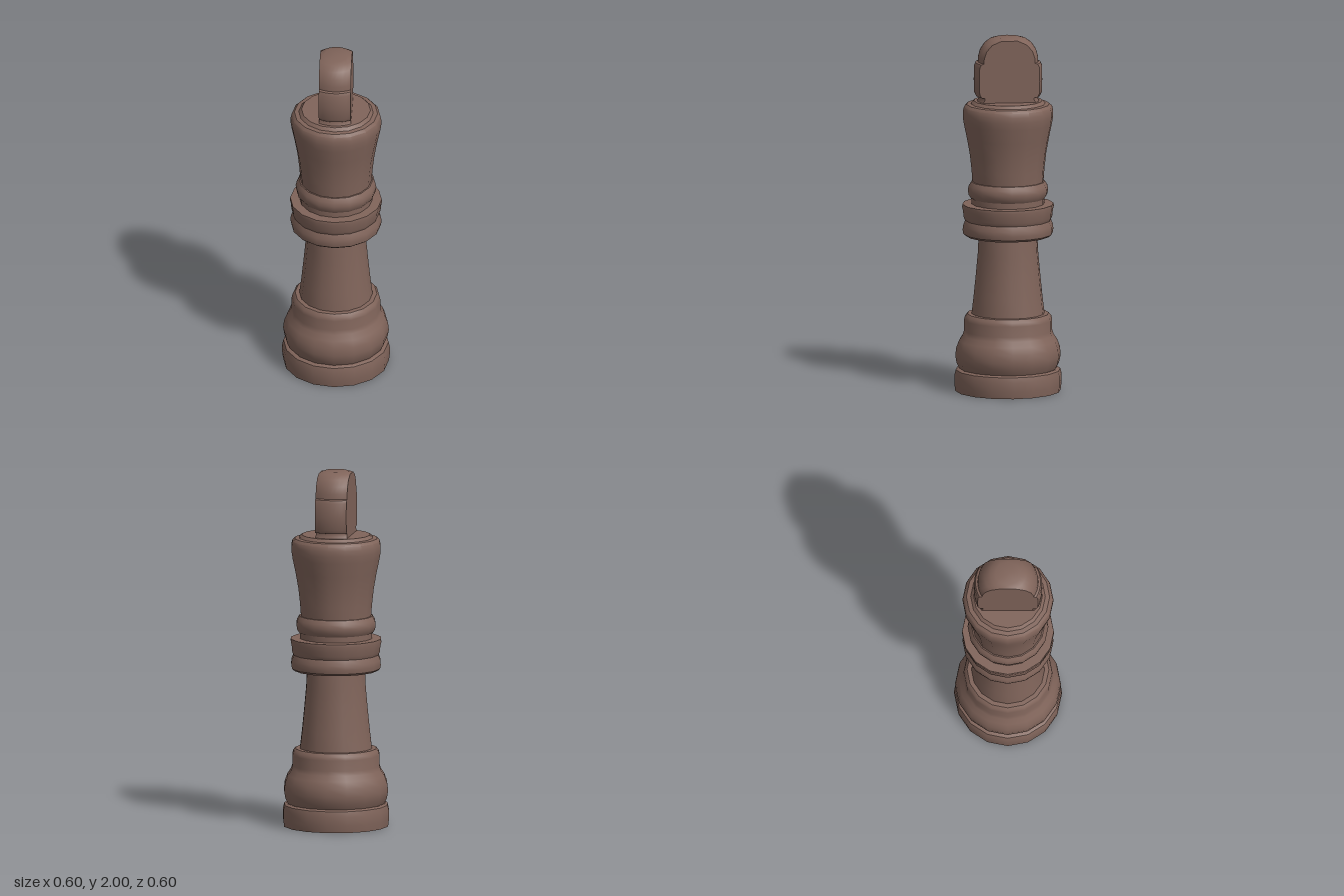
import * as THREE from 'three';
import { toCreasedNormals } from 'three/addons/utils/BufferGeometryUtils.js';

const CREASE = 0.62;
const SIDES = 16;

const wood = new THREE.MeshStandardMaterial({ color: 0x80645a });
wood.name = 'dark wood';

// Turned part from [radius, height] pairs, bottom to top
function turned(name, profile) {
  const points = profile.map(([r, y]) => new THREE.Vector2(r, y));
  const geometry = toCreasedNormals(new THREE.LatheGeometry(points, SIDES), CREASE);
  const mesh = new THREE.Mesh(geometry, wood);
  mesh.name = name;
  return mesh;
}

// Turned dome sliced flat on both sides at x = +-halfWidth
function slicedDome(name, profile, halfWidth, steps = 8) {
  const positions = [];
  const index = [];
  const count = 2 * (steps + 1);
  for (const [r, y] of profile) {
    const w = Math.min(r, halfWidth);
    for (const side of [1, -1]) {
      for (let i = 0; i <= steps; i++) {
        const x = side * w * (2 * i / steps - 1);
        positions.push(x, y, side * Math.sqrt(Math.max(0, r * r - x * x)));
      }
    }
  }
  for (let row = 0; row < profile.length - 1; row++) {
    for (let j = 0; j < count; j++) {
      const a = row * count + j;
      const b = row * count + (j + 1) % count;
      index.push(a, b, b + count, a, b + count, a + count);
    }
  }
  const geometry = new THREE.BufferGeometry();
  geometry.setAttribute('position', new THREE.Float32BufferAttribute(positions, 3));
  geometry.setIndex(index);
  const mesh = new THREE.Mesh(toCreasedNormals(geometry, CREASE), wood);
  mesh.name = name;
  return mesh;
}

export function createModel() {
  const model = new THREE.Group();
  model.name = 'chessPiece';

  model.add(
    // Foot and the swelling above it
    turned('foot', [[0, 0], [0.295, 0], [0.3, 0.04], [0.3, 0.09], [0.293, 0.12], [0.28, 0.128], [0.26, 0.128]]),
    turned('baseBulge', [
      [0.272, 0.127], [0.288, 0.16], [0.295, 0.2], [0.29, 0.245], [0.275, 0.285],
      [0.255, 0.315], [0.247, 0.34], [0.247, 0.4], [0.242, 0.42], [0.228, 0.436], [0.19, 0.438],
    ]),
    // Tapered column
    turned('column', [[0.205, 0.43], [0.192, 0.54], [0.18, 0.66], [0.169, 0.78], [0.164, 0.89]]),
    // Double collar and neck ring
    turned('lowerCollar', [
      [0.15, 0.875], [0.235, 0.876], [0.25, 0.888], [0.254, 0.91], [0.252, 0.935], [0.24, 0.965], [0.2, 0.968],
    ]),
    turned('upperCollar', [
      [0.2, 0.964], [0.24, 0.965], [0.249, 0.985], [0.251, 1.015], [0.257, 1.04], [0.255, 1.056], [0.19, 1.058],
    ]),
    turned('neck', [[0.204, 1.05], [0.204, 1.095]]),
    turned('neckRing', [
      [0.19, 1.088], [0.208, 1.09], [0.221, 1.11], [0.225, 1.137], [0.22, 1.16], [0.206, 1.183], [0.18, 1.186],
    ]),
    // Flared head with a low rim
    turned('head', [
      [0.199, 1.18], [0.204, 1.25], [0.214, 1.34], [0.23, 1.43], [0.247, 1.51], [0.253, 1.55],
      [0.253, 1.58], [0.247, 1.605], [0.232, 1.62], [0.208, 1.623], [0.192, 1.64], [0, 1.64],
    ]),
    // Flat-sided finial
    slicedDome('finial', [
      [0.175, 1.635], [0.164, 1.655], [0.164, 1.667], [0.18, 1.67], [0.189, 1.69], [0.191, 1.76],
      [0.189, 1.84], [0.181, 1.857], [0.169, 1.862], [0.167, 1.89], [0.156, 1.93], [0.132, 1.966],
      [0.1, 1.989], [0.07, 1.998], [0, 2],
    ], 0.089),
  );
  return model;
}
